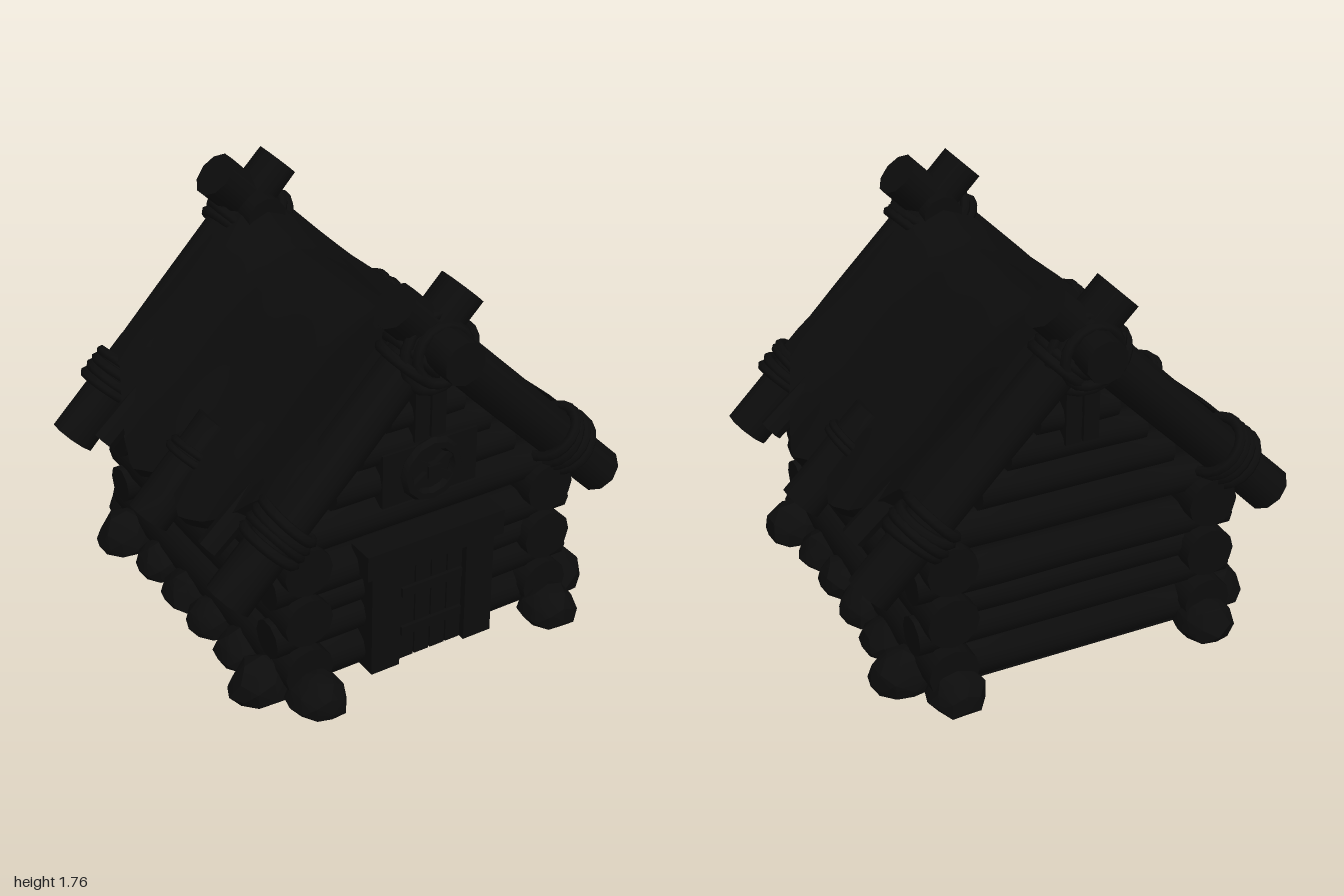
import * as THREE from 'three';
import { mergeVertices, toCreasedNormals } from 'three/addons/utils/BufferGeometryUtils.js';

const V = (x, y, z) => new THREE.Vector3(x, y, z);
const UP = V(0, 1, 0);

export function createModel() {
  const root = new THREE.Group();
  root.name = 'logCabin';
  const dark = new THREE.MeshStandardMaterial({ color: 0x0c0c0c });

  let seed = 7;
  const rnd = () => (seed = (seed * 16807) % 2147483647) / 2147483647;

  function add(name, geo, crease = 0.7) {
    const mesh = new THREE.Mesh(toCreasedNormals(geo, crease), dark);
    mesh.name = name;
    root.add(mesh);
    return mesh;
  }

  function box(name, x, y, z, w, h, d) {
    const mesh = add(name, new THREE.BoxGeometry(w, h, d));
    mesh.position.set(x, y, z);
    return mesh;
  }

  // Slightly uneven log from a to b
  function log(name, a, b, r, sides = 10) {
    const geo = new THREE.CylinderGeometry(r, r, a.distanceTo(b), sides, 4);
    const p = geo.attributes.position;
    const ring = [0, 1, 2, 3, 4].map(() => 0.96 + 0.06 * rnd());
    for (let i = 0; i < p.count; i++) {
      const k = ring[Math.round((p.getY(i) / a.distanceTo(b) + 0.5) * 4)];
      p.setX(i, p.getX(i) * k);
      p.setZ(i, p.getZ(i) * k);
    }
    const mesh = add(name, geo);
    mesh.position.copy(a).lerp(b, 0.5);
    mesh.quaternion.setFromUnitVectors(UP, b.clone().sub(a).normalize());
  }

  // Several rope turns around an axis
  function lashing(name, center, dir, r, turns = 3, tube = 0.024) {
    const d = dir.clone().normalize();
    for (let i = 0; i < turns; i++) {
      const mesh = add(name, new THREE.TorusGeometry(r * (0.97 + 0.06 * rnd()), tube, 6, 18), 1.2);
      mesh.position.copy(center).addScaledVector(d, (i - (turns - 1) / 2) * tube * 1.7);
      const tilt = V(rnd() - 0.5, rnd() - 0.5, rnd() - 0.5).multiplyScalar(0.2);
      mesh.quaternion.setFromUnitVectors(V(0, 0, 1), d.clone().add(tilt).normalize());
    }
  }

  // Faceted stone with a flat underside
  function stone(x, z, rx, ry, rz) {
    const geo = new THREE.IcosahedronGeometry(1, 1);
    geo.deleteAttribute('normal');
    geo.deleteAttribute('uv');
    const g = mergeVertices(geo);
    const p = g.attributes.position;
    for (let i = 0; i < p.count; i++) {
      const k = 0.92 + 0.14 * rnd();
      p.setXYZ(i, p.getX(i) * rx * k, Math.max(0, p.getY(i) * ry * k + 0.03), p.getZ(i) * rz * k);
    }
    add('foundationStone', g, 0.45).position.set(x, 0, z);
  }

  // Inner body, floor and gable walls
  box('floor', 0, 0.05, -0.02, 1.2, 0.1, 1.42);
  const gable = new THREE.Shape([[-0.57, 0], [0.57, 0], [0.57, 0.8], [0, 1.37], [-0.57, 0.8]]
    .map(([x, y]) => new THREE.Vector2(x, y)));
  add('innerWall', new THREE.ExtrudeGeometry(gable, { depth: 1.3, bevelEnabled: false }))
    .position.z = -0.67;

  // Side wall logs
  for (const s of [-1, 1])
    for (const y of [0.14, 0.39, 0.64])
      log('sideLog', V(s * 0.6, y, -0.84), V(s * 0.6, y, 0.79), 0.113, 12);

  // Front and back logs, shortening up into the gable
  for (const z of [0.665, -0.7]) {
    for (const [y, half, r] of [[0.1, 0.6, 0.09], [0.28, 0.73, 0.09], [0.53, 0.73, 0.09],
      [0.41, 0.58, 0.08], [0.74, 0.58, 0.09], [0.9, 0.44, 0.08], [1.04, 0.31, 0.075], [1.17, 0.18, 0.07]])
      log('gableLog', V(-half, y, z), V(half, y, z), r, 10);
    for (const x of [-0.04, 0.04]) box('gablePost', x, 1.2, z + Math.sign(z) * 0.05, 0.07, 0.28, 0.06);
  }

  // Door, frame and lintel
  for (const s of [-1, 1]) box('doorPost', s * 0.235, 0.26, 0.745, 0.14, 0.5, 0.11);
  box('lintel', 0, 0.575, 0.755, 0.68, 0.12, 0.13);
  for (let i = 0; i < 4; i++) {
    const h = i % 3 ? 0.55 : 0.52;
    box('doorPlank', -0.12 + i * 0.08, 0.02 + h / 2, 0.755, 0.073, h, 0.05);
  }
  for (const y of [0.17, 0.37]) box('doorBar', 0, y, 0.785, 0.3, 0.045, 0.02);

  // Round window over the door
  box('windowPanel', 0, 0.92, 0.7, 0.46, 0.25, 0.1);
  const ring = add('windowRing', new THREE.TorusGeometry(0.12, 0.028, 6, 12));
  ring.position.set(0, 0.92, 0.755);
  for (const a of [0.6, -0.6]) box('windowBar', 0, 0.92, 0.755, 0.23, 0.035, 0.04).rotation.z = a;
  box('windowHub', 0, 0.92, 0.765, 0.06, 0.06, 0.04);

  // Crossed rafters, eave poles and their lashings
  const axisY = x => 1.525 - 1.02 * x;
  for (const s of [-1, 1]) {
    const on = (x, z) => V(s * x, axisY(x), z);
    const dir = V(s, -1.02, 0);
    for (const z of [0.705, -0.745]) {
      log('rafter', on(0.928, z), on(-0.16, z), 0.105);
      lashing('eaveLashing', on(0.69, z), dir, 0.125, 4);
      lashing('ridgeLashing', on(0.09, z), dir, 0.12, 2);
    }
    log('middleRafter', on(0.928, 0.01), on(0.58, 0.01), 0.1);
    lashing('eaveLashing', on(0.7, 0.01), dir, 0.11, 2, 0.018);
    for (const z of [0.48, -0.49]) log('eavePole', V(s * 0.89, 0.68, z), V(s * 0.55, 0.98, z), 0.055, 8);
  }

  // Ridge pole ends
  for (const [z0, z1, zr] of [[0.97, 0.56, 0.8], [-0.97, -0.56, -0.83]]) {
    log('ridgePole', V(0, 1.51, z0), V(0, 1.51, z1), 0.095);
    lashing('ridgePoleLashing', V(0, 1.48, zr), V(0, 0, 1), 0.125, 2);
    lashing('ridgePoleLashing', V(0, 1.47, zr - Math.sign(zr) * 0.03), V(0, 0, 1), 0.16, 1);
  }

  // Sagging roof cover with scalloped eaves, as a closed thick sheet
  const table = (pts, t) => {
    let i = 1;
    while (i < pts.length - 1 && t > pts[i][0]) i++;
    const [a, b] = [pts[i - 1], pts[i]];
    return THREE.MathUtils.lerp(a[1], b[1], THREE.MathUtils.clamp((t - a[0]) / (b[0] - a[0]), 0, 1));
  };
  const reach = z => table([[0, 0.8], [0.08, 0.84], [0.22, 0.89], [0.45, 0.81], [0.62, 0.73]], Math.abs(z));
  const lift = z => table([[0.34, 0], [0.42, 0.03], [0.62, 0.09]], Math.abs(z));
  const slope = [[0, 1.47], [0.1, 1.43], [0.25, 1.31], [0.5, 1.06], [0.66, 0.92], [0.72, 0.86], [0.89, 0.67]];
  const N = 10, loop = 4 * N + 2, NZ = 32;
  const cover = new THREE.PlaneGeometry(1, 1, loop, NZ);
  const cp = cover.attributes.position;
  for (let i = 0; i < cp.count; i++) {
    const k = (i % (loop + 1)) % loop;
    const z = -0.76 + 1.48 * Math.floor(i / (loop + 1)) / NZ;
    const inner = k > 2 * N;
    const u = (inner ? 4 * N + 1 - k : k) / N - 1;
    const x = Math.abs(u) * reach(z);
    const y = table(slope, x) + lift(z) - 0.012 * Math.cos(z * 14) * Math.abs(u);
    const t = inner ? 0.05 : 0;
    cp.setXYZ(i, Math.sign(u) * Math.max(0, x - t * 0.7), y - t, z);
  }
  cover.deleteAttribute('uv');
  const sheet = add('roofCover', cover, 0.6);
  sheet.material = dark.clone();
  sheet.material.side = THREE.DoubleSide;

  // Foundation stones along the sides and at the corners
  for (const s of [-1, 1]) {
    for (const z of [0.64, 0.39, 0.14, -0.1, -0.36, -0.63]) {
      const corner = Math.abs(z) > 0.5;
      stone(s * (corner ? 0.74 : 0.7), z, corner ? 0.155 : 0.12, corner ? 0.15 : 0.12, 0.125);
    }
    for (const e of [-1, 1]) stone(s * 0.59, e * 0.83, 0.13, 0.125, 0.135);
  }

  return root;
}
